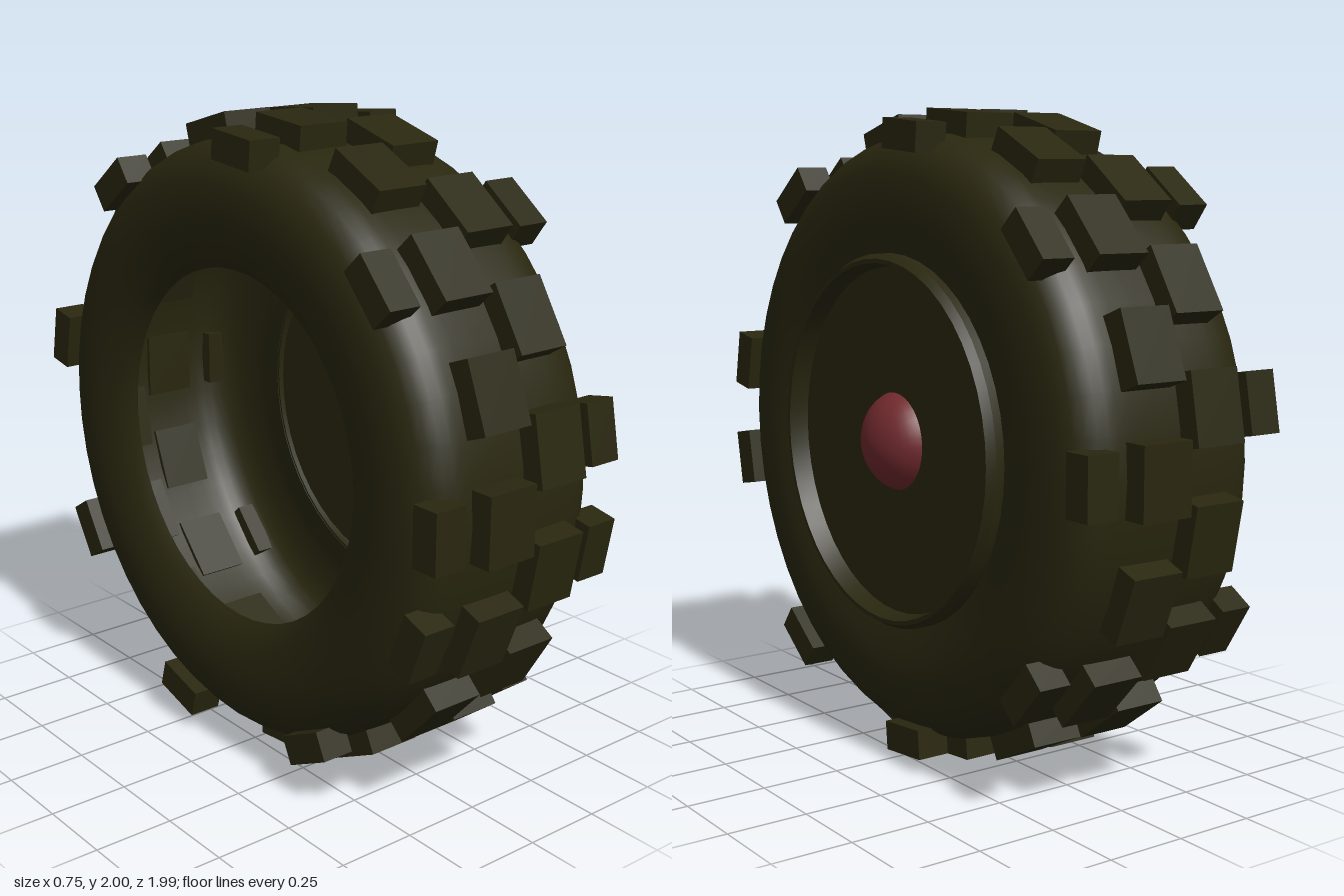
import * as THREE from 'three';
import { toCreasedNormals } from 'three/addons/utils/BufferGeometryUtils.js';

const rubber = new THREE.MeshStandardMaterial({ color: 0x29270f, side: THREE.DoubleSide });
rubber.name = 'dark olive rubber';
const red = new THREE.MeshStandardMaterial({ color: 0x712a2e });
red.name = 'dull red';

// Spins a profile of [radius, x] points, running from back to front, around the x axis
function spin(name, points, material, segments, crease) {
  const profile = points.map(([r, x]) => new THREE.Vector2(r, x));
  let geometry = new THREE.LatheGeometry(profile, segments);
  geometry.rotateZ(-Math.PI / 2);
  if (crease) geometry = toCreasedNormals(geometry, crease);
  const mesh = new THREE.Mesh(geometry, material);
  mesh.name = name;
  return mesh;
}

// A row of tread blocks; angles run from the front (+z) up over the top
function lugRow(name, { x0, x1, inner, outer, length, start, step, count }) {
  const row = new THREE.Group();
  row.name = name;
  const geometry = new THREE.BoxGeometry(x1 - x0, length, outer - inner);
  geometry.translate((x0 + x1) / 2, 0, (inner + outer) / 2);
  for (let i = 0; i < count; i++) {
    const lug = new THREE.Mesh(geometry, rubber);
    lug.name = 'treadLug';
    lug.rotation.x = -(start + i * step);
    row.add(lug);
  }
  return row;
}

export function createModel() {
  const wheel = new THREE.Group();
  wheel.name = 'wheel';
  wheel.position.y = 1;

  // Hollow tyre shell, open at the back
  const section = new THREE.SplineCurve([
    [0.55, -0.305], [0.6, -0.34], [0.7, -0.365], [0.8, -0.362], [0.87, -0.335],
    [0.915, -0.28], [0.929, -0.2], [0.931, -0.03], [0.929, 0.14], [0.915, 0.22],
    [0.87, 0.278], [0.8, 0.305], [0.7, 0.312], [0.62, 0.3], [0.56, 0.285],
  ].map(([r, x]) => new THREE.Vector2(r, x)));
  const shellPoints = section.getPoints(32).map((p) => [p.x, p.y]);
  wheel.add(spin('tyreShell', shellPoints, rubber, 48));

  // Raised rim lip and the recessed wheel disc
  wheel.add(spin('rimAndDisc', [
    [0.57, 0.285], [0.57, 0.315], [0.555, 0.34], [0.542, 0.34], [0.53, 0.28], [0, 0.28],
  ], rubber, 48, 0.5));

  // Domed hub cap
  const dome = [];
  for (let i = 0; i <= 10; i++) {
    const a = (i / 10) * Math.PI / 2;
    dome.push([0.157 * Math.cos(a), 0.24 + 0.13 * Math.sin(a)]);
  }
  wheel.add(spin('hubCap', dome, red, 32));

  // Two staggered centre rows and a sparser row on each shoulder
  const pitch = (Math.PI * 2) / 17;
  const centre = { inner: 0.915, outer: 0.995, length: 0.21, step: pitch, count: 17 };
  const shoulder = { inner: 0.875, outer: 0.965, length: 0.18, step: pitch * 2, count: 9 };
  wheel.add(
    lugRow('innerCentreLugs', { ...centre, x0: -0.21, x1: -0.04, start: 0 }),
    lugRow('outerCentreLugs', { ...centre, x0: -0.02, x1: 0.15, start: pitch / 2 }),
    lugRow('innerShoulderLugs', { ...shoulder, x0: -0.375, x1: -0.27, start: 0 }),
    lugRow('outerShoulderLugs', { ...shoulder, x0: 0.21, x1: 0.315, start: pitch / 2 }),
  );

  const model = new THREE.Group();
  model.name = 'offRoadWheel';
  model.add(wheel);
  return model;
}
